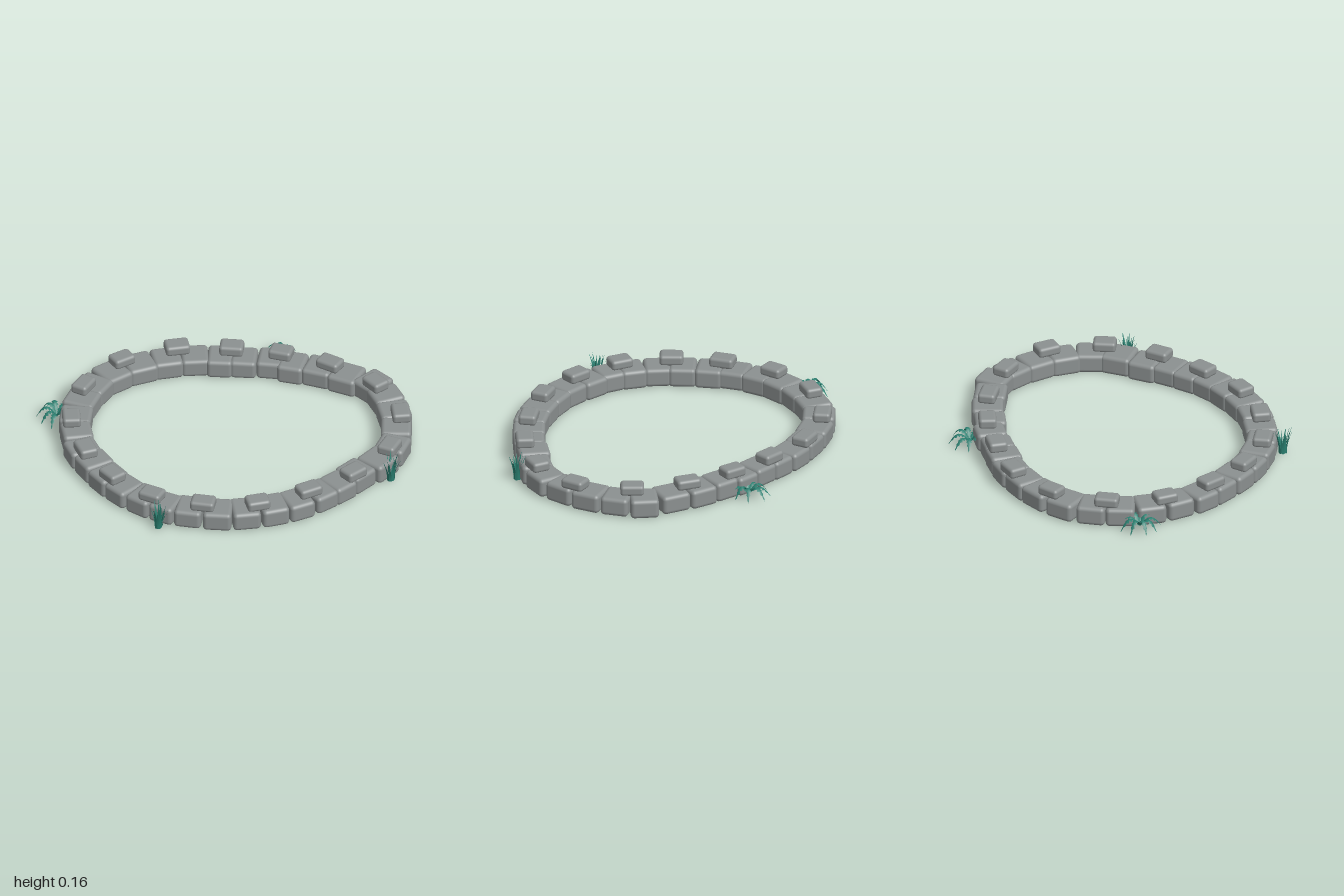
import * as THREE from 'three';
import { RoundedBoxGeometry } from 'three/addons/geometries/RoundedBoxGeometry.js';

const STONE = new THREE.MeshStandardMaterial({ color: 0x8b9090 });
const LEAF = new THREE.MeshStandardMaterial({ color: 0x2a7f70, side: THREE.DoubleSide });

// Stone centres [x, z], in order round the ring
const BASE = [
  [-0.06, -0.73], [0.075, -0.695], [0.2, -0.66], [0.34, -0.625], [0.45, -0.56], [0.585, -0.495],
  [0.715, -0.4], [0.84, -0.3], [0.885, -0.165], [0.9, -0.01], [0.88, 0.15], [0.83, 0.3],
  [0.725, 0.42], [0.585, 0.505], [0.47, 0.59], [0.355, 0.65], [0.22, 0.705], [0.08, 0.73],
  [-0.07, 0.735], [-0.215, 0.715], [-0.36, 0.66], [-0.48, 0.6], [-0.58, 0.51], [-0.67, 0.4],
  [-0.735, 0.275], [-0.785, 0.135], [-0.825, 0], [-0.825, -0.15], [-0.8, -0.3], [-0.74, -0.445],
  [-0.65, -0.565], [-0.53, -0.66], [-0.37, -0.715], [-0.215, -0.735],
];
const CAPS = [
  [-0.15, -0.77], [0.14, -0.705], [0.395, -0.61], [0.635, -0.46], [0.84, -0.23], [0.92, 0.075],
  [0.8, 0.37], [0.56, 0.57], [0.29, 0.685], [-0.005, 0.75], [-0.295, 0.7], [-0.55, 0.565],
  [-0.725, 0.34], [-0.82, 0.075], [-0.84, -0.225], [-0.715, -0.515], [-0.465, -0.715],
];

function seeded(seed) {
  return () => {
    seed = (seed * 16807) % 2147483647;
    return seed / 2147483647;
  };
}

// A loop of rounded stones, each turned along the ring
function stoneRing(name, points, y, height, depth, lengthOf, radius, rand) {
  const ring = new THREE.Group();
  ring.name = name;
  const n = points.length;
  points.forEach(([x, z], i) => {
    const [ax, az] = points[(i + n - 1) % n];
    const [bx, bz] = points[(i + 1) % n];
    const spacing = (Math.hypot(x - ax, z - az) + Math.hypot(bx - x, bz - z)) / 2;
    const h = height * (0.97 + 0.06 * rand());
    const geo = new RoundedBoxGeometry(lengthOf(spacing), h, depth * (0.96 + 0.08 * rand()), 3, radius);
    const stone = new THREE.Mesh(geo, STONE);
    stone.name = name + 'Stone';
    stone.position.set(x, y, z);
    stone.rotation.y = -Math.atan2(bz - az, bx - ax) + (rand() - 0.5) * 0.12;
    ring.add(stone);
  });
  return ring;
}

// A folded leaf strip: spine(t) gives [outward, up], width(t, i) its half width
function addLeaf(pos, index, angle, rows, spine, width, fold) {
  const start = pos.length / 3;
  const c = Math.cos(angle), s = Math.sin(angle);
  for (let i = 0; i <= rows; i++) {
    const t = i / rows;
    const [r, y] = spine(t);
    const w = width(t, i);
    for (const k of [-1, 0, 1]) pos.push(c * r - s * w * k, y - Math.abs(k) * w * fold, s * r + c * w * k);
    if (i === rows) continue;
    for (const k of [0, 1]) {
      const a = start + i * 3 + k;
      index.push(a, a + 1, a + 3, a + 1, a + 4, a + 3);
    }
  }
}

function leafMesh(name, pos, index, x, z) {
  const geo = new THREE.BufferGeometry();
  geo.setAttribute('position', new THREE.Float32BufferAttribute(pos, 3));
  geo.setIndex(index);
  geo.computeVertexNormals();
  const mesh = new THREE.Mesh(geo, LEAF);
  mesh.name = name;
  mesh.position.set(x, 0.015, z);
  return mesh;
}

// Arching fern with saw-edged fronds
function fern(x, z, turn, rand) {
  const pos = [], index = [];
  const count = 9;
  for (let i = 0; i < count; i++) {
    const length = 0.105 + 0.02 * rand();
    const rise = 0.05 + 0.02 * rand();
    addLeaf(pos, index, turn + ((i + 0.3 * rand()) / count) * Math.PI * 2, 14,
      (t) => [length * t, 0.02 * (1 - t) + rise * Math.sin(Math.PI * Math.min(1, t * 0.95))],
      (t, j) => 0.019 * Math.sin(Math.PI * Math.min(1, 0.08 + 0.92 * t)) * (j % 2 ? 1 : 0.45), 0.5);
  }
  return leafMesh('fern', pos, index, x, z);
}

// Upright tuft of pointed grass blades
function grassTuft(x, z, rand) {
  const pos = [], index = [];
  const count = 20;
  for (let i = 0; i < count; i++) {
    const inner = 0.008 + 0.016 * rand();
    const reach = 0.012 + 0.034 * rand();
    const height = 0.1 + 0.06 * rand();
    addLeaf(pos, index, i * 2.4 + rand() * 0.4, 5,
      (t) => [inner + reach * t * t, height * t],
      (t) => 0.009 * (1 - t) * (0.75 + t), 0.3);
  }
  return leafMesh('grassTuft', pos, index, x, z);
}

export function createModel() {
  const model = new THREE.Group();
  model.name = 'stoneRing';
  const rand = seeded(71);

  // Lower course, stones touching; upper course, small spaced stones
  model.add(stoneRing('base', BASE, 0.066, 0.106, 0.172, (s) => s * 1.0 + 0.004, 0.022, rand));
  model.add(stoneRing('cap', CAPS, 0.142, 0.058, 0.098, () => 0.126 + 0.012 * rand(), 0.018, rand));

  // Plants round the outside
  model.add(fern(0.4, -0.716, 0.15, rand), fern(-0.885, -0.41, 0.5, rand));
  model.add(grassTuft(0.78, 0.5, rand), grassTuft(-0.54, 0.695, rand));
  return model;
}
